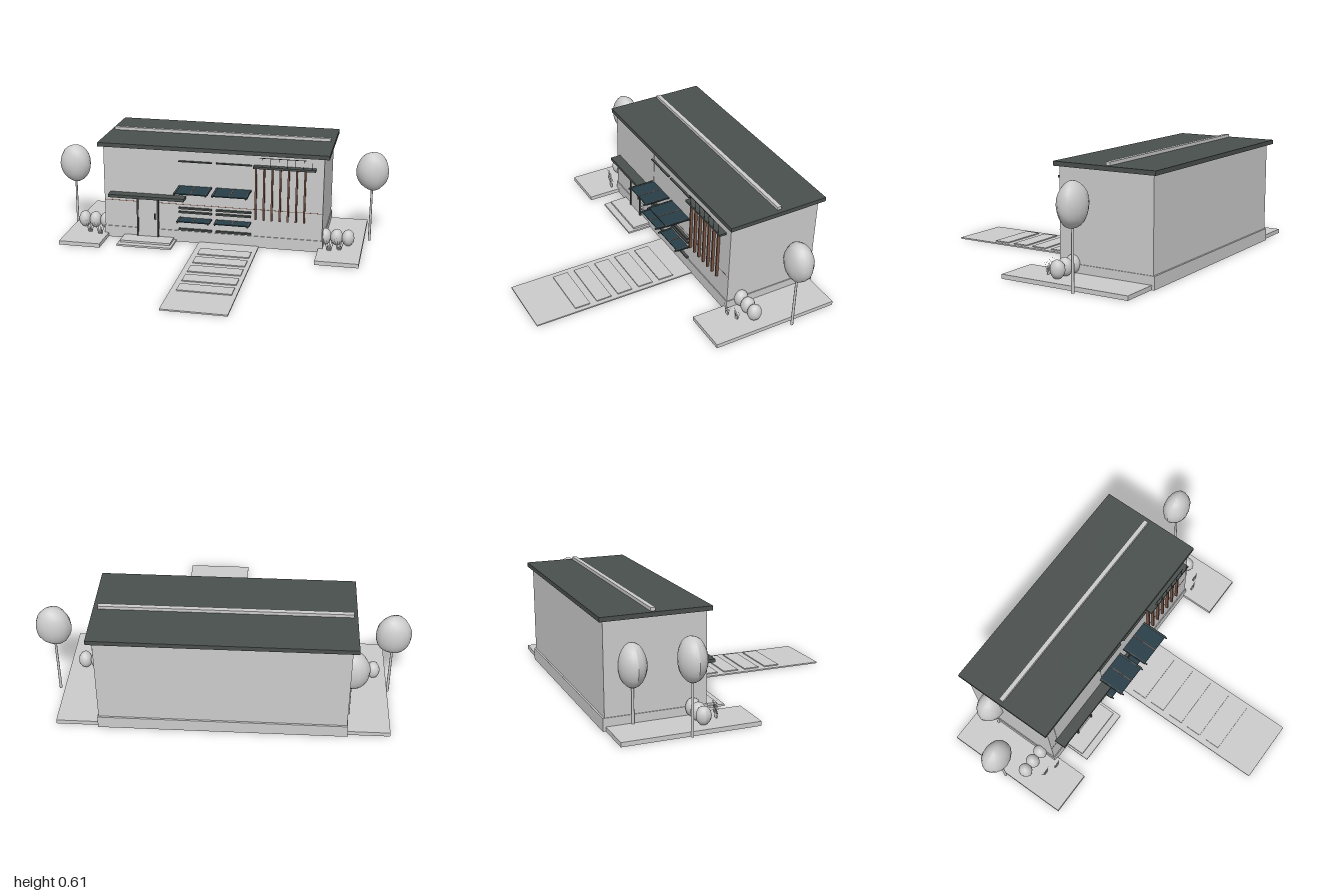
import * as THREE from 'three';

const mat = (color) => new THREE.MeshStandardMaterial({ color });

export function createModel() {
  const model = new THREE.Group();
  const grey = mat(0xcccccc), dark = mat(0x4a504e), blue = mat(0x283e48), brown = mat(0x7a5545);

  const add = (name, geometry, material, x = 0, y = 0, z = 0, parent = model) => {
    const mesh = new THREE.Mesh(geometry, material);
    mesh.name = name;
    mesh.position.set(x, y, z);
    parent.add(mesh);
    return mesh;
  };
  // Box given by its extents along each axis
  const box = (name, material, x0, x1, y0, y1, z0, z1) =>
    add(name, new THREE.BoxGeometry(x1 - x0, y1 - y0, z1 - z0), material,
      (x0 + x1) / 2, (y0 + y1) / 2, (z0 + z1) / 2);

  // Building shell
  box('plinth', grey, -0.675, 0.645, 0, 0.07, -0.76, -0.195);
  box('walls', grey, -0.67, 0.64, 0.07, 0.57, -0.75, -0.2);
  box('roof', dark, -0.7, 0.67, 0.568, 0.592, -0.775, -0.18);
  box('roofRidge', grey, -0.68, 0.645, 0.592, 0.61, -0.505, -0.48);
  box('wallTrim', brown, -0.67, 0.64, 0.234, 0.237, -0.201, -0.199);
  box('upperPanel', grey, -0.615, -0.195, 0.285, 0.568, -0.2, -0.197);

  // Entrance
  box('canopy', dark, -0.63, -0.17, 0.272, 0.29, -0.2, -0.135);
  box('door', grey, -0.465, -0.335, 0.022, 0.272, -0.2, -0.187);
  for (const x of [-0.463, -0.34]) box('doorPost', dark, x - 0.005, x + 0.005, 0.022, 0.272, -0.2, -0.18);
  box('doorHandle', dark, -0.359, -0.353, 0.135, 0.17, -0.187, -0.175);
  box('lowerStep', grey, -0.56, -0.23, 0, 0.011, -0.2, -0.05);
  box('upperStep', grey, -0.55, -0.245, 0.011, 0.023, -0.2, -0.09);

  // Window bays: rails and projecting shades
  for (const [x0, x1] of [[-0.212, -0.012], [0.012, 0.222]]) {
    box('topRail', dark, x0, x1, 0.5, 0.507, -0.2, -0.188);
    for (const y of [0.215, 0.19, 0.082])
      box('windowRail', dark, x0, x1, y - 0.005, y + 0.005, -0.2, -0.185);
    for (const [y, front] of [[0.35, -0.05], [0.152, -0.125]]) {
      box('shade', blue, x0, x1, y - 0.003, y + 0.003, -0.2, front);
      const mid = (x0 + x1) / 2;
      box('shadeSeam', brown, mid - 0.002, mid + 0.002, y, y + 0.004, -0.2, front);
      for (const x of [x0 + 0.008, x1 - 0.008])
        box('shadeArm', dark, x - 0.003, x + 0.003, y - 0.005, y + 0.005, -0.2, front + 0.013);
    }
  }

  // Slatted screen with its hung beam
  for (let i = 0; i < 7; i++) {
    const x = 0.248 + i * 0.0475;
    box('slat', brown, x - 0.005, x + 0.005, 0.175, 0.498, -0.2, -0.185);
    box('hanger', dark, x + 0.04, x + 0.042, 0.5, 0.565, -0.162, -0.16);
  }
  box('screenBeam', dark, 0.235, 0.595, 0.496, 0.508, -0.2, -0.16);
  box('hangerRail', dark, 0.27, 0.54, 0.56, 0.563, -0.163, -0.16);

  // Garden path and paving slabs
  box('path', grey, -0.09, 0.27, 0, 0.008, -0.2, 0.77);
  for (let i = 0; i < 5; i++) {
    const z = -0.085 + i * 0.131;
    box('pavingSlab', grey, -0.057, 0.245, 0.008, 0.014, z, z + 0.09);
  }

  // Side lawns
  box('rightLawn', grey, -0.9, -0.65, 0, 0.024, -0.745, 0);
  box('leftLawn', grey, 0.62, 0.87, 0, 0.024, -0.745, 0);

  // Gently lumpy foliage shared by trees and bushes
  const foliage = new THREE.SphereGeometry(1, 16, 12);
  const p = foliage.attributes.position;
  for (let i = 0; i < p.count; i++) {
    const x = p.getX(i), y = p.getY(i), z = p.getZ(i);
    const s = 0.985 + 0.025 * Math.sin(4 * x + 3 * y) * Math.cos(4 * z - 2 * y);
    p.setXYZ(i, x * s, y * s, z * s);
  }
  foliage.computeVertexNormals();

  const trunk = new THREE.CylinderGeometry(0.006, 0.008, 1, 8);
  for (const [x, y, z] of [[-0.907, 0.395, -0.378], [0.9, 0.435, -0.455], [-0.682, 0.328, -0.605]]) {
    const tree = new THREE.Group();
    tree.name = 'tree';
    model.add(tree);
    add('trunk', trunk, grey, x, y / 2, z, tree).scale.y = y;
    add('treeCrown', foliage, grey, x, y, z, tree).scale.set(0.097, 0.118, 0.073);
  }
  for (const x of [-0.827, -0.76, -0.692, 0.65, 0.718, 0.785])
    add('bush', foliage, grey, x, 0.07, -0.285).scale.set(0.038, 0.05, 0.041);

  // Grass tufts: fans of narrow blades
  const blade = new THREE.ConeGeometry(0.003, 0.075, 4).translate(0, 0.0375, 0);
  for (const [x, z] of [[-0.765, -0.19], [-0.695, -0.165], [0.685, -0.175], [0.742, -0.2]]) {
    const tuft = new THREE.Group();
    tuft.name = 'grassTuft';
    model.add(tuft);
    for (let i = -2; i <= 2; i++)
      add('blade', blade, grey, x + i * 0.004, 0.024, z, tuft).rotation.z = -i * 0.17;
  }
  return model;
}
